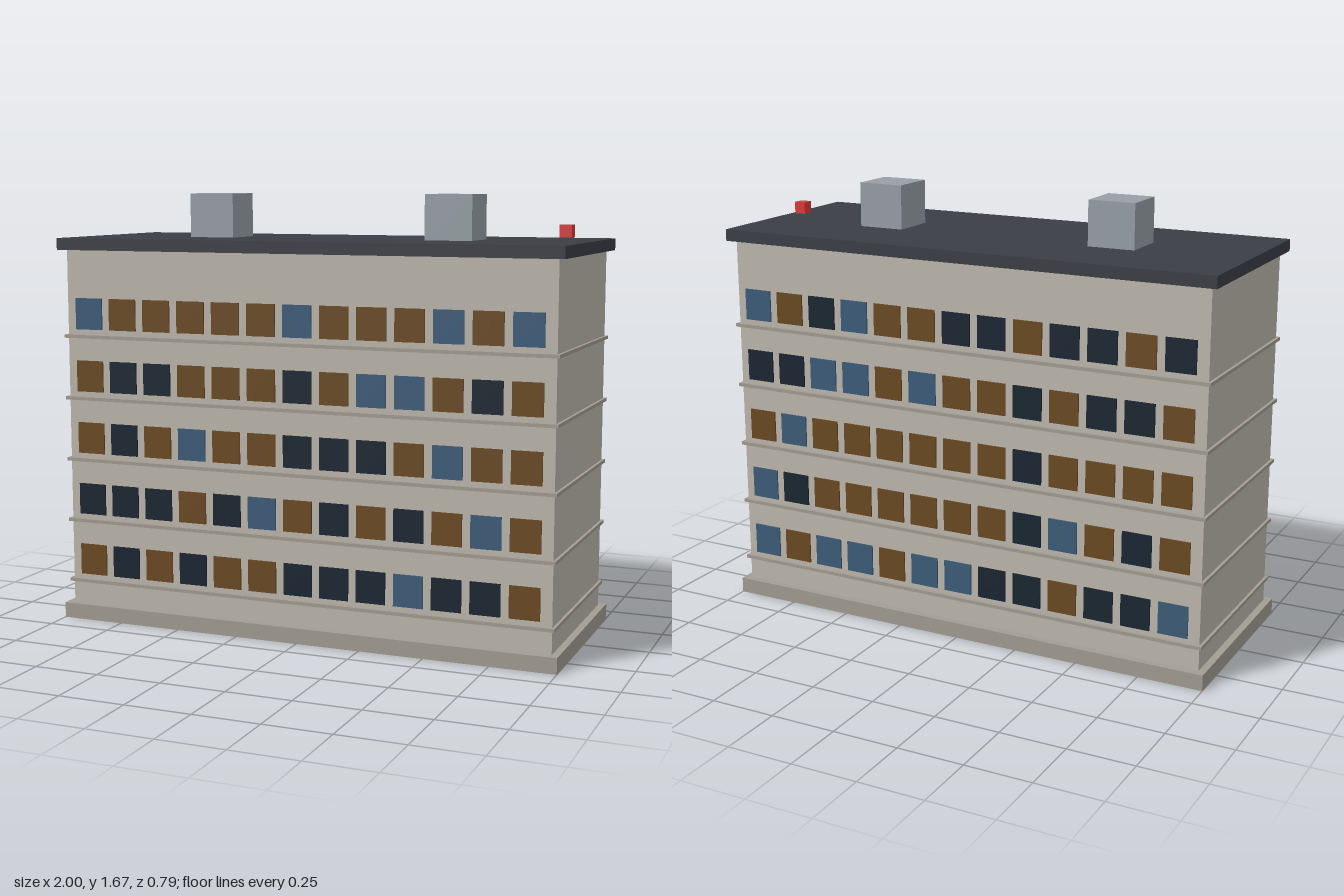
import * as THREE from 'three';

const mat = (color) => new THREE.MeshStandardMaterial({ color });
const wall = mat(0xbdb8ae);
const stone = mat(0xa39d92);
const slate = mat(0x3a3d45);
const metal = mat(0x979fa5);
const red = mat(0xd93a3a);
// Window tints: O = lamplit, D = dark, B = sky reflection
const glass = { O: mat(0x6b4a22), D: mat(0x1a2632), B: mat(0x3d5c7a) };

// Rows from the top floor down, read left to right as seen from outside
const frontRows = ['BOOOOOBOOOBOB', 'ODDOOODOBBODO', 'ODOBOODDDOBOO', 'DDDODBODODOBO', 'ODODOODDDBDDO'];
const backRows = ['BODBOODDODDOD', 'DDBBOBOODODDO', 'OBOOOOOODOOOO', 'BDOOOOOODBODO', 'BOBBOBBDDODDB'];

const FLOORS = 5;
const FLOOR_HEIGHT = 0.2425;
const WINDOW_PITCH = 0.1457;

export function createModel() {
  const model = new THREE.Group();
  model.name = 'apartmentBlock';

  // Box resting on height y
  function box(name, material, w, h, d, x, y, z, parent = model) {
    const mesh = new THREE.Mesh(new THREE.BoxGeometry(w, h, d), material);
    mesh.name = name;
    mesh.position.set(x, y + h / 2, z);
    parent.add(mesh);
    return mesh;
  }

  // Main masses
  box('plinth', stone, 2, 0.06, 0.788, 0, 0, 0);
  box('body', wall, 1.946, 1.41, 0.728, 0, 0.05, 0);
  box('roofSlab', slate, 2, 0.045, 0.788, 0, 1.457, 0);

  // Ledges running round the building under each floor
  for (let i = 0; i < FLOORS; i++) {
    box('floorLedge', stone, 1.968, 0.013, 0.756, 0, 0.146 + i * FLOOR_HEIGHT, 0);
  }

  // Window panes; the back facade is the same layout turned half round
  function facade(name, rows) {
    const group = new THREE.Group();
    group.name = name;
    rows.forEach((row, r) => {
      const y = 0.181 + (FLOORS - 1 - r) * FLOOR_HEIGHT;
      [...row].forEach((tint, c) => {
        const x = (c - (row.length - 1) / 2) * WINDOW_PITCH;
        box('windowPane', glass[tint], 0.114, 0.121, 0.006, x, y, 0.376, group);
      });
    });
    model.add(group);
    return group;
  }
  facade('frontWindows', frontRows);
  facade('backWindows', backRows).rotation.y = Math.PI;

  // Rooftop units and warning light
  for (const side of [-1, 1]) {
    box('rooftopUnit', metal, 0.183, 0.18, 0.182, side * 0.484, 1.492, 0);
  }
  box('warningLight', red, 0.046, 0.046, 0.046, 0.908, 1.517, 0);

  return model;
}
